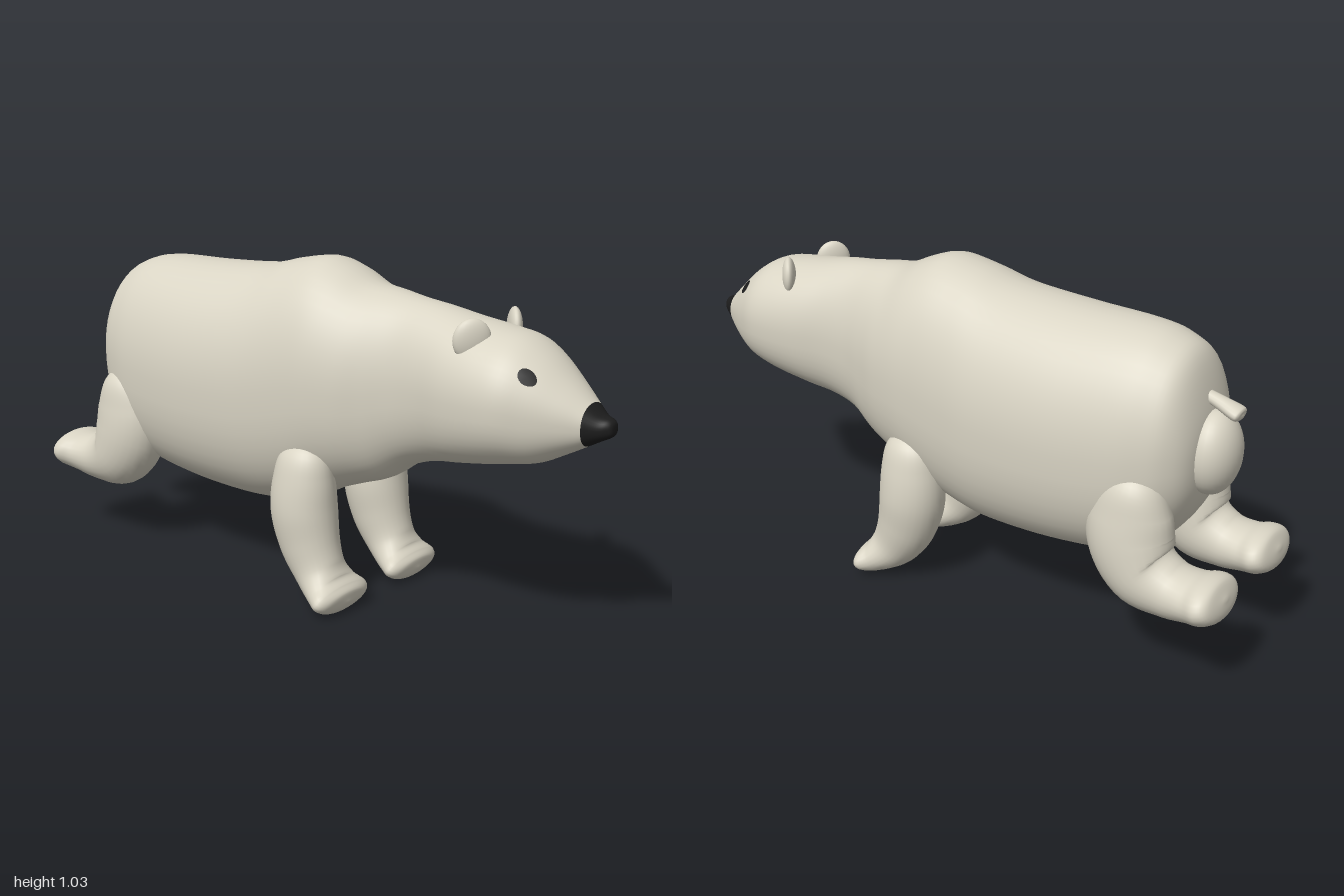
import * as THREE from 'three';
import { mergeVertices } from 'three/addons/utils/BufferGeometryUtils.js';

const fur = new THREE.MeshStandardMaterial({ color: 0xd9d4c4 });
fur.name = 'cream fur';
const black = new THREE.MeshStandardMaterial({ color: 0x1c1c1c });
black.name = 'black';

// Smooth interpolation through rows of numbers, with the row index as parameter
function spline(rows) {
  const times = Float32Array.from(rows, (_, i) => i);
  const curve = new THREE.CubicInterpolant(times, Float32Array.from(rows.flat()), rows[0].length);
  return (t) => Array.from(curve.evaluate(THREE.MathUtils.clamp(t, 0, rows.length - 1)));
}

// Closed rings point(t, angle) skinned between t0 and t1
function loft(point, t0, t1, steps, sides) {
  const pos = [], index = [];
  for (let i = 0; i <= steps; i++) {
    for (let j = 0; j < sides; j++) {
      pos.push(...point(t0 + ((t1 - t0) * i) / steps, (j / sides) * Math.PI * 2));
      if (i === steps) continue;
      const a = i * sides + j, b = i * sides + ((j + 1) % sides);
      index.push(a, b, a + sides, b, b + sides, a + sides);
    }
  }
  let g = new THREE.BufferGeometry();
  g.setAttribute('position', new THREE.Float32BufferAttribute(pos, 3));
  g.setIndex(index);
  g = mergeVertices(g, 1e-5);
  g.computeVertexNormals();
  return g;
}

// Limb along a path in the xy plane; rows are [x, y, radius in plane, radius in z]
function limb(rows, sides = 28) {
  const at = spline(rows), end = rows.length - 1;
  return loft((t, a) => {
    const [x, y, r, rz] = at(t), p = at(t - 0.05), q = at(t + 0.05);
    const tx = q[0] - p[0], ty = q[1] - p[1], l = Math.hypot(tx, ty) || 1;
    const c = Math.max(r, 0) * Math.cos(a);
    return [x - (ty / l) * c, y + (tx / l) * c, Math.max(rz, 0) * Math.sin(a)];
  }, 0, end, end * 6, sides);
}

// Torso, neck and head: [x, bottom, top, half width]
const sections = [
  [-0.85, 0.65, 0.65, 0], [-0.835, 0.52, 0.78, 0.12], [-0.79, 0.42, 0.915, 0.185],
  [-0.72, 0.34, 0.962, 0.22], [-0.62, 0.29, 0.98, 0.245], [-0.42, 0.263, 0.985, 0.266],
  [-0.2, 0.255, 1.0, 0.263], [-0.08, 0.268, 1.028, 0.25], [0.03, 0.3, 1.045, 0.24],
  [0.11, 0.34, 1.025, 0.233], [0.2, 0.375, 0.985, 0.21], [0.28, 0.405, 0.973, 0.178],
  [0.36, 0.46, 0.96, 0.155], [0.45, 0.493, 0.948, 0.158], [0.55, 0.51, 0.93, 0.178],
  [0.65, 0.528, 0.916, 0.188], [0.73, 0.545, 0.9, 0.182], [0.8, 0.56, 0.86, 0.15],
  [0.87, 0.595, 0.8, 0.108], [0.93, 0.628, 0.747, 0.066], [0.962, 0.646, 0.72, 0.045],
  [0.985, 0.658, 0.712, 0.03], [0.996, 0.668, 0.702, 0.018], [0.998, 0.685, 0.685, 0],
];
const bodyAt = spline(sections);
const NOSE = 19, EYE = 16.93;

function skin(t, a, grow = 1) {
  const [x, lo, hi, w] = bodyAt(t);
  const c = Math.cos(a), s = Math.sin(a), p = c < 0 ? 0.82 : 0.96;
  const bend = (v) => Math.sign(v) * Math.abs(v) ** p;
  return [x, (lo + hi) / 2 + ((hi - lo) / 2) * bend(c) * grow, w * bend(s) * grow];
}

// Thin eye patch that follows the head
function eyePatch(side) {
  const pos = [...skin(EYE, side * 0.85, 1.05)], index = [], n = 20;
  for (let i = 0; i < n; i++) {
    const f = (i / n) * Math.PI * 2;
    pos.push(...skin(EYE + 0.33 * Math.cos(f), side * (0.85 + 0.15 * Math.sin(f)), 1.035));
    const a = 1 + i, b = 1 + ((i + 1) % n);
    index.push(0, ...(side > 0 ? [b, a] : [a, b]));
  }
  const g = new THREE.BufferGeometry();
  g.setAttribute('position', new THREE.Float32BufferAttribute(pos, 3));
  g.setIndex(index);
  g.computeVertexNormals();
  return g;
}

export function createModel() {
  const model = new THREE.Group();
  model.name = 'bear';
  const add = (name, geometry, material = fur) => {
    const m = new THREE.Mesh(geometry, material);
    m.name = name;
    model.add(m);
    return m;
  };

  add('body', loft(skin, 0, NOSE, NOSE * 5, 48));
  add('nose', loft(skin, NOSE, sections.length - 1, 20, 32), black);

  // Rounded rump and stubby flared tail
  const rump = add('rump', new THREE.SphereGeometry(1, 32, 20));
  rump.scale.set(0.078, 0.125, 0.1);
  rump.position.set(-0.847, 0.645, 0);
  add('tail', limb([
    [-0.79, 0.815, 0.015, 0.018], [-0.85, 0.797, 0.019, 0.023],
    [-0.905, 0.778, 0.021, 0.034], [-0.92, 0.773, 0.016, 0.028], [-0.925, 0.772, 0, 0],
  ], 16));

  // Legs with wide paws
  const frontLeg = limb([
    [0.075, 0.53, 0, 0], [0.075, 0.48, 0.075, 0.06], [0.07, 0.4, 0.1, 0.085],
    [0.07, 0.3, 0.107, 0.095], [0.092, 0.2, 0.098, 0.086], [0.132, 0.12, 0.08, 0.08],
    [0.175, 0.075, 0.062, 0.1], [0.212, 0.056, 0.048, 0.12],
    [0.236, 0.048, 0.034, 0.09], [0.246, 0.045, 0, 0],
  ]);
  const hindLeg = limb([
    [-0.71, 0.64, 0, 0], [-0.705, 0.58, 0.08, 0.07], [-0.695, 0.49, 0.122, 0.092],
    [-0.698, 0.4, 0.13, 0.102], [-0.745, 0.318, 0.113, 0.1], [-0.83, 0.287, 0.085, 0.088],
    [-0.905, 0.288, 0.068, 0.098], [-0.955, 0.298, 0.064, 0.115],
    [-0.988, 0.308, 0.048, 0.09], [-1.0, 0.312, 0, 0],
  ]);

  for (const [side, label] of [[1, 'left'], [-1, 'right']]) {
    add(label + 'FrontLeg', frontLeg).position.z = side * 0.177;
    add(label + 'HindLeg', hindLeg).position.z = side * 0.17;
    add(label + 'Eye', eyePatch(side), black);
    const ear = add(label + 'Ear', new THREE.SphereGeometry(1, 24, 16));
    ear.scale.set(0.055, 0.06, 0.022);
    ear.rotation.y = side * 0.85;
    ear.position.set(0.61, 0.888, side * 0.107);
  }
  return model;
}
